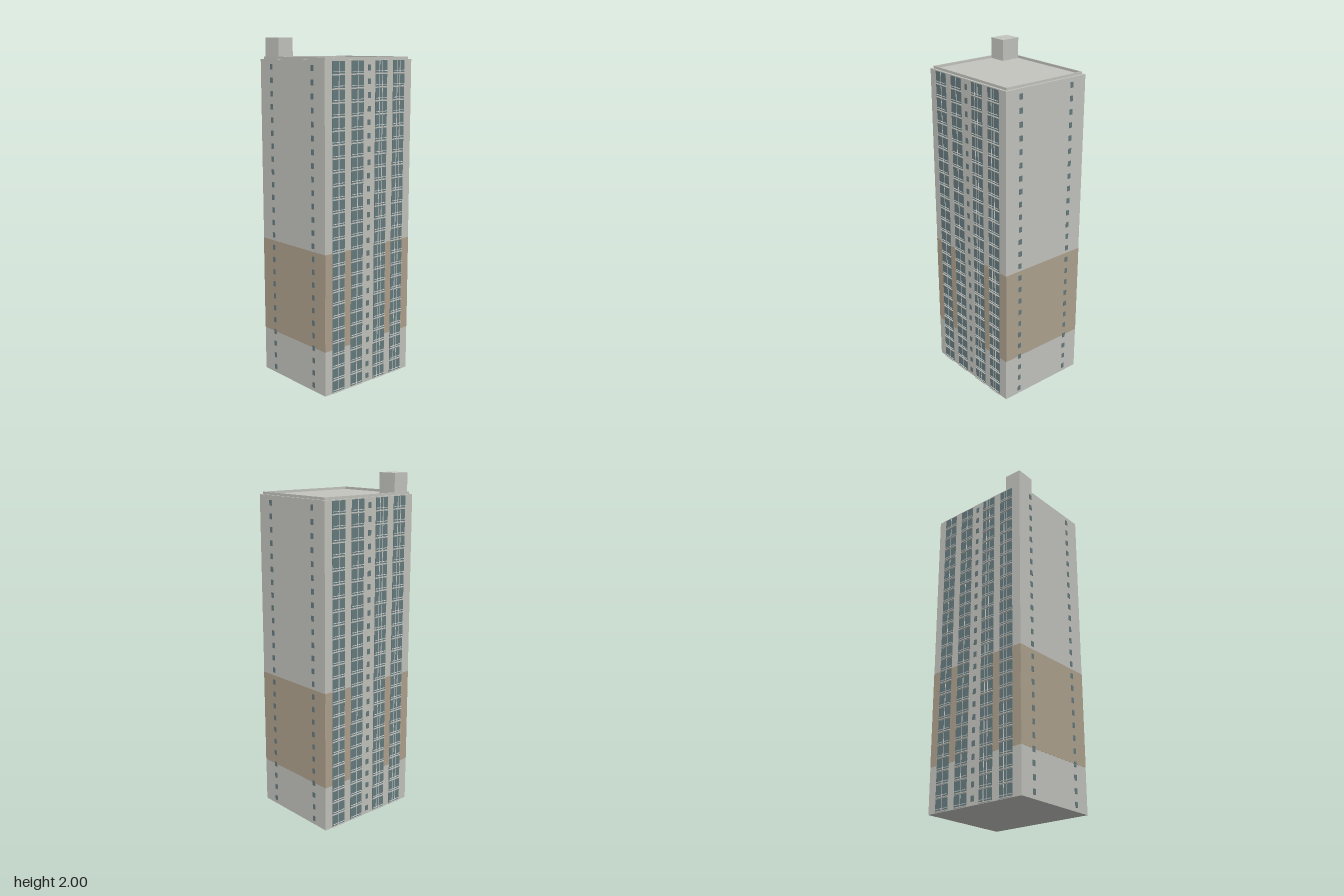
import * as THREE from 'three';
import { mergeGeometries } from 'three/addons/utils/BufferGeometryUtils.js';

const W = 0.655, D = 0.563, H = 1.88, FLOORS = 25, STEP = 0.075;

const material = (name, color) => {
  const m = new THREE.MeshStandardMaterial({ color });
  m.name = name;
  return m;
};

// Box given by its centre in x and z, its bottom and its size
const box = (x, y, z, w, h, d) => new THREE.BoxGeometry(w, h, d).translate(x, y + h / 2, z);

export function createModel() {
  const concrete = material('concrete', 0xc3c4be);
  const tan = material('tanPaint', 0xafa28f);
  const glass = material('glass', 0x677b7f);
  const railing = material('railing', 0xd2d5d2);

  const model = new THREE.Group();
  model.name = 'towerBlock';
  const tower = new THREE.Group();
  tower.name = 'tower';
  tower.rotation.y = -0.027;
  model.add(tower);

  const add = (parent, name, geometries, mat) => {
    const mesh = new THREE.Mesh(mergeGeometries(geometries), mat);
    mesh.name = name;
    parent.add(mesh);
  };

  // Main block and the low parapet set in from its edge
  add(tower, 'walls', [box(0, 0, 0, W, H, D)], concrete);
  const pw = W - 0.026, pd = D - 0.026, t = 0.007;
  const parapet = [];
  for (const s of [-1, 1]) {
    parapet.push(box(0, H, s * (pd - t) / 2, pw, 0.014, t));
    parapet.push(box(s * (pw - t) / 2, H, 0, t, 0.014, pd - 2 * t));
  }
  add(tower, 'parapet', parapet, concrete);

  // One long facade with its neighbouring end wall, repeated by a half turn
  for (let k = 0; k < 2; k++) {
    const half = new THREE.Group();
    half.name = k ? 'backHalf' : 'frontHalf';
    half.rotation.y = k * Math.PI;
    tower.add(half);

    const f = D / 2, e = W / 2;
    const panes = [], slabs = [], rails = [], paint = [];

    // Painted band, leaving the middle of the long facade bare
    const bandW = e - 0.047;
    for (const s of [-1, 1]) paint.push(box(s * (e - bandW / 2), 0.265, f, bandW, 0.565, 0.002));
    paint.push(box(e, 0.265, 0, 0.002, 0.565, D));

    for (let i = 0; i < FLOORS; i++) {
      const y = i * STEP;
      // Small windows on the facade and the end wall
      panes.push(box(-0.004, y + 0.022, f, 0.021, 0.031, 0.005));
      for (const z of [-0.18, 0.18]) panes.push(box(e, y + 0.022, z, 0.005, 0.031, 0.021));

      // Wide glazed bays with a sill slab, a rail and mullions
      for (const x of [-0.23, -0.092, 0.087, 0.225]) {
        panes.push(box(x, y + 0.006, f, 0.09, STEP - 0.006, 0.005));
        slabs.push(box(x, y + 0.003, f + 0.003, 0.09, 0.005, 0.010));
        rails.push(box(x, y + 0.017, f + 0.005, 0.084, 0.003, 0.003));
        const bars = x < 0 ? [0.001] : [-0.014, 0.008];
        for (const b of bars) rails.push(box(x + b, y + 0.008, f + 0.002, 0.004, STEP - 0.01, 0.003));
      }
    }
    add(half, 'paintBand', paint, tan);
    add(half, 'windows', panes, glass);
    add(half, 'balconySlabs', slabs, concrete);
    add(half, 'railsAndMullions', rails, railing);
  }

  // Rooftop stair house, square to the axes
  add(model, 'stairHouse', [box(-0.251, H, -0.207, 0.104, 0.12, 0.118)], concrete);
  return model;
}
